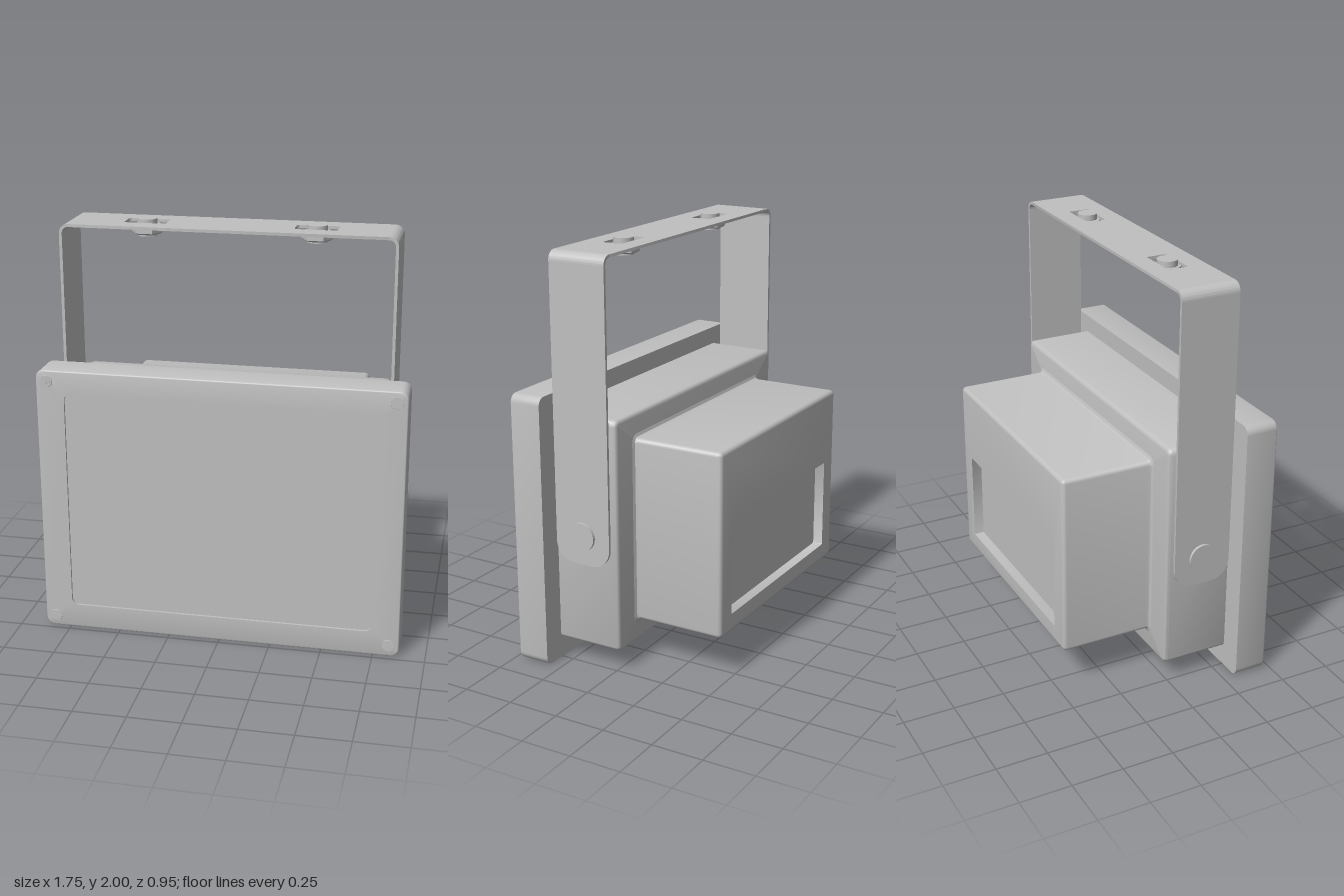
import * as THREE from 'three';
import { toCreasedNormals } from 'three/addons/utils/BufferGeometryUtils.js';

const grey = new THREE.MeshStandardMaterial({ color: 0xc0c0c0 });
grey.name = 'light grey';

function add(parent, name, geometry, x = 0, y = 0, z = 0) {
  const mesh = new THREE.Mesh(geometry, grey);
  mesh.name = name;
  mesh.position.set(x, y, z);
  parent.add(mesh);
  return mesh;
}

// Points of a rounded rectangle, counter-clockwise
function ringPoints({ hw, y0, y1, r = 0.02, z }) {
  const pts = [], n = 5;
  const corners = [[hw - r, y0 + r, -1], [hw - r, y1 - r, 0], [r - hw, y1 - r, 1], [r - hw, y0 + r, 2]];
  for (const [cx, cy, q] of corners) {
    for (let i = 0; i <= n; i++) {
      const a = (q + i / n) * Math.PI / 2;
      pts.push([cx + r * Math.cos(a), cy + r * Math.sin(a), z]);
    }
  }
  return pts;
}

// Skin through rounded rectangles ordered from front to back, capped at both ends
function loft(sections) {
  const rings = sections.map(ringPoints), pos = [];
  const tri = (...p) => p.forEach(v => pos.push(...v));
  const n = rings[0].length, last = rings.length - 1;
  const centre = s => [0, (s.y0 + s.y1) / 2, s.z];
  for (let j = 0; j < n; j++) {
    const k = (j + 1) % n;
    tri(centre(sections[0]), rings[0][j], rings[0][k]);
    for (let i = 0; i < last; i++) {
      const a = rings[i], b = rings[i + 1];
      tri(a[j], b[j], b[k]);
      tri(a[j], b[k], a[k]);
    }
    tri(centre(sections[last]), rings[last][k], rings[last][j]);
  }
  const g = new THREE.BufferGeometry();
  g.setAttribute('position', new THREE.Float32BufferAttribute(pos, 3));
  return toCreasedNormals(g, 0.6);
}

const inset = (s, d, z) => ({ hw: s.hw - d, y0: s.y0 + d, y1: s.y1 - d, r: Math.max(s.r - d, 0.002), z });

// Quarter-round edge from the side walls to an end face; dir is +1 at the front, -1 at the back
function roundEdge(s, r, zEnd, dir) {
  const out = [0, 1, 2, 3].map(i => {
    const a = i / 3 * Math.PI / 2;
    return inset(s, r * (1 - Math.cos(a)), zEnd - dir * r * (1 - Math.sin(a)));
  });
  return dir > 0 ? out.reverse() : out;
}

function extrude(shape, depth) {
  return toCreasedNormals(new THREE.ExtrudeGeometry(shape, { depth, bevelEnabled: false, curveSegments: 10 }), 0.6);
}

function roundedPath(path, cx, cy, w, h, r) {
  const x = cx - w / 2, y = cy - h / 2, q = Math.PI / 2;
  path.moveTo(x + r, y);
  path.absarc(x + w - r, y + r, r, -q, 0);
  path.absarc(x + w - r, y + h - r, r, 0, q);
  path.absarc(x + r, y + h - r, r, q, 2 * q);
  path.absarc(x + r, y + r, r, 2 * q, 3 * q);
  path.closePath();
  return path;
}

function buildHousing(model) {
  // Front frame with its shallow sunken panel
  const frame = { hw: 0.875, y0: 0, y1: 1.325, r: 0.04 };
  const panel = { hw: 0.74, y0: 0.12, y1: 1.215, r: 0.035 };
  add(model, 'frontFrame', loft([
    { ...panel, z: 0.46 }, { ...panel, z: 0.472 },
    ...roundEdge(frame, 0.008, 0.472, 1),
    { ...frame, z: 0.312 },
  ]));

  // Middle housing
  const body = { hw: 0.757, y0: 0.1, y1: 1.235, r: 0.03 };
  add(model, 'middleHousing', loft([{ ...body, z: 0.32 }, ...roundEdge(body, 0.02, -0.02, -1)]));

  // Rear box with a flared foot and a sunken window in its back
  const box = { hw: 0.6, y0: 0.21, y1: 1.115, r: 0.022 };
  const recess = { hw: 0.495, y0: 0.3, y1: 0.75, r: 0.004 };
  add(model, 'rearBox', loft([
    inset(box, -0.02, -0.015), inset(box, -0.02, -0.02), inset(box, -0.006, -0.026), { ...box, z: -0.04 },
    ...roundEdge(box, 0.02, -0.475, -1),
    { ...recess, z: -0.475 }, { ...recess, z: -0.425 },
  ]));

  // Corner screws with cross slots drawn as thin plates
  for (const x of [-0.823, 0.823]) {
    for (const y of [0.055, 1.272]) {
      const screw = new THREE.Group();
      screw.name = 'cornerScrew';
      screw.position.set(x, y, 0.472);
      add(screw, 'screwHead', new THREE.CylinderGeometry(0.029, 0.031, 0.004, 20).rotateX(Math.PI / 2));
      add(screw, 'screwCross', new THREE.BoxGeometry(0.038, 0.008, 0.006));
      add(screw, 'screwCross', new THREE.BoxGeometry(0.008, 0.038, 0.006));
      model.add(screw);
    }
  }
}

function buildBracket(model) {
  const bracket = new THREE.Group();
  bracket.name = 'bracket';
  model.add(bracket);
  const X = 0.79, top = 1.985, t = 0.014, depth = 0.29, zc = 0.15, R = 0.045;

  // Top bar with two slots
  const bar = new THREE.Shape();
  roundedPath(bar, 0, 0, 2 * (X - R), depth, 0.0005);
  for (const x of [-0.402, 0.402]) bar.holes.push(roundedPath(new THREE.Path(), x, 0, 0.2, 0.1, 0.012));
  add(bracket, 'topBar', extrude(bar, t).rotateX(Math.PI / 2), 0, top, zc);

  // Legs with rounded lower ends
  const h = depth / 2, r = 0.095, y0 = 0.525, y1 = top - R;
  const leg = new THREE.Shape();
  leg.moveTo(h, y1);
  leg.lineTo(-h, y1);
  leg.absarc(-h + r, y0 + r, r, Math.PI, Math.PI * 1.5);
  leg.absarc(h - r, y0 + r, r, -Math.PI / 2, 0);
  leg.closePath();
  const legGeo = extrude(leg, t).rotateY(Math.PI / 2);

  for (const s of [-1, 1]) {
    add(bracket, 'leg', legGeo, s > 0 ? X - t : -X, 0, zc);

    // Bent corner between leg and bar
    const a = s > 0 ? 0 : Math.PI / 2, b = a + Math.PI / 2;
    const bend = new THREE.Shape();
    bend.absarc(0, 0, R, a, b);
    bend.absarc(0, 0, R - t, b, a, true);
    bend.closePath();
    add(bracket, 'bend', extrude(bend, depth), s * (X - R), top - R, zc - h);

    // Pivot bolt
    const pivot = new THREE.CylinderGeometry(0.068, 0.068, 0.06, 32).rotateZ(Math.PI / 2);
    add(bracket, 'pivotBolt', pivot, s * 0.773, 0.665, zc);

    // Mounting bolt, washer and chamfered hex nut
    const x = s * 0.402;
    add(bracket, 'mountingBolt', new THREE.CylinderGeometry(0.048, 0.048, 0.08, 24), x, 1.96, zc);
    add(bracket, 'washer', new THREE.CylinderGeometry(0.064, 0.064, 0.01, 24), x, 1.966, zc);
    const profile = [[0, -0.018], [0.062, -0.018], [0.075, -0.01], [0.075, 0.01], [0.062, 0.018], [0, 0.018]]
      .map(p => new THREE.Vector2(...p));
    const nut = toCreasedNormals(new THREE.LatheGeometry(profile, 6), 0.3).rotateY(Math.PI / 6);
    add(bracket, 'hexNut', nut, x, 1.946, zc);
  }
}

export function createModel() {
  const model = new THREE.Group();
  model.name = 'floodlight';
  buildHousing(model);
  buildBracket(model);
  return model;
}
